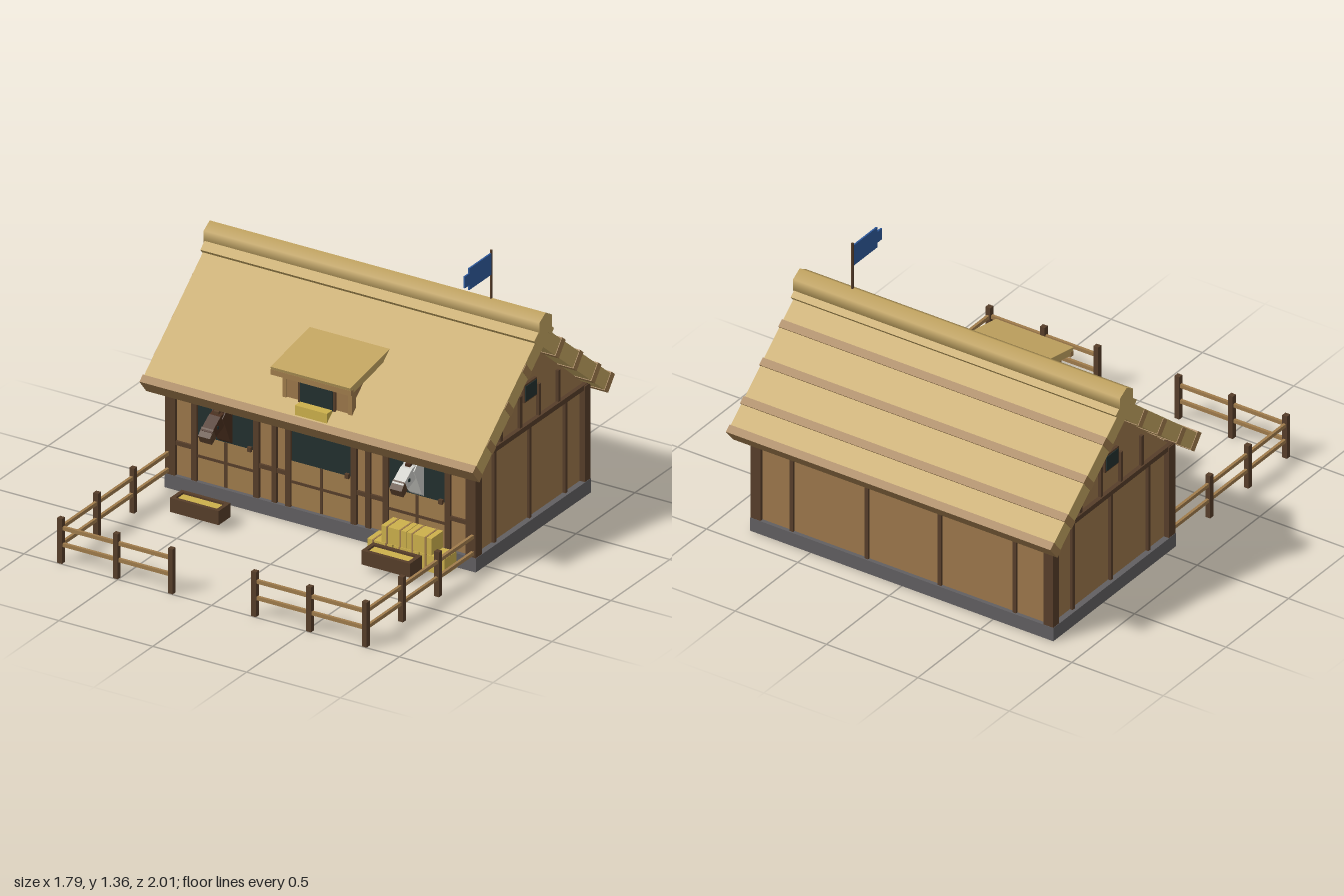
import * as THREE from 'three';

const mat = (name, color) => {
  const m = new THREE.MeshStandardMaterial({ color });
  m.name = name;
  return m;
};

export function createModel() {
  const thatch = mat('thatch', 0xc2a460);
  const plaster = mat('plankWall', 0x9c774b);
  const dark = mat('darkTimber', 0x573e2a);
  const trim = mat('lightTimber', 0xa07c4c);
  const hay = mat('hay', 0xccb04c);
  const stone = mat('stone', 0x615f61);
  const glass = mat('darkOpening', 0x22302f);
  const blue = mat('blueCloth', 0x2f5a9c);
  const white = mat('whiteCoat', 0xcfcfca);
  const brown = mat('brownCoat', 0x4a2e1e);

  const model = new THREE.Group();
  model.name = 'stable';
  const group = (name, parent = model) => {
    const g = new THREE.Group();
    g.name = name;
    parent.add(g);
    return g;
  };
  const add = (parent, name, geo, m, x = 0, y = 0, z = 0) => {
    const mesh = new THREE.Mesh(geo, m);
    mesh.name = name;
    mesh.position.set(x, y, z);
    parent.add(mesh);
    return mesh;
  };
  // box given by its limits on each axis
  const box = (parent, name, m, [x0, x1], [y0, y1], [z0, z1]) =>
    add(parent, name, new THREE.BoxGeometry(x1 - x0, y1 - y0, z1 - z0), m, (x0 + x1) / 2, (y0 + y1) / 2, (z0 + z1) / 2);
  // side profile of [z, y] points, extruded across x and centred
  const profile = (points, width) => {
    const shape = new THREE.Shape(points.map(([z, y]) => new THREE.Vector2(z, y)));
    const geo = new THREE.ExtrudeGeometry(shape, { depth: width, bevelEnabled: false });
    return geo.translate(0, 0, -width / 2).rotateY(-Math.PI / 2);
  };
  const MID = -0.41;

  // Plinth and walls
  box(model, 'foundation', stone, [-0.83, 0.83], [0, 0.07], [-0.9, 0.08]);
  add(model, 'walls', profile([[0.06, 0.07], [0.06, 0.55], [MID, 0.955], [-0.88, 0.55], [-0.88, 0.07]], 1.6), plaster);

  // Timber frame
  const frame = group('timberFrame');
  for (const s of [-1, 1]) {
    const xs = s > 0 ? [0.775, 0.828] : [-0.828, -0.775];
    box(frame, 'frontCornerPost', dark, xs, [0.07, 0.55], [0.025, 0.078]);
    box(frame, 'backCornerPost', dark, xs, [0.07, 0.55], [-0.898, -0.85]);
    const face = s > 0 ? [0.79, 0.815] : [-0.815, -0.79];
    box(frame, 'sideBeam', dark, s > 0 ? [0.78, 0.822] : [-0.822, -0.78], [0.528, 0.553], [-0.895, 0.07]);
    for (const z of [-0.11, MID, -0.715]) box(frame, 'sideStud', dark, face, [0.07, 0.54], [z - 0.009, z + 0.009]);
    for (const [d, top] of [[0.245, 0.71], [0.08, 0.71]])
      for (const k of [-1, 1]) box(frame, 'gableStud', dark, face, [0.55, top], [MID + k * d - 0.009, MID + k * d + 0.009]);
    // Gable window
    box(frame, 'gableWindowFrame', dark, face, [0.665, 0.755], [MID - 0.054, MID + 0.054]);
    box(frame, 'gableWindow', glass, s > 0 ? [0.814, 0.819] : [-0.819, -0.814], [0.673, 0.747], [MID - 0.046, MID + 0.046]);
  }
  for (const x of [-0.61, -0.2, 0.2, 0.61]) box(frame, 'backStud', dark, [x - 0.01, x + 0.01], [0.07, 0.54], [-0.892, -0.87]);
  box(frame, 'backBeam', dark, [-0.8, 0.8], [0.525, 0.55], [-0.894, -0.87]);
  box(frame, 'frontBeam', dark, [-0.8, 0.8], [0.472, 0.5], [0.05, 0.077]);

  // Three stable doors across the front
  for (const [cx, half] of [[-0.51, 0.15], [0, 0.16], [0.51, 0.15]]) {
    const door = group('stableDoor');
    door.position.x = cx;
    box(door, 'opening', glass, [-half, half], [0.3, 0.472], [0.058, 0.065]);
    box(door, 'doorLeaf', trim, [-half, half], [0.075, 0.3], [0.055, 0.066]);
    box(door, 'doorBrace', dark, [-half, half], [0.19, 0.203], [0.06, 0.07]);
    box(door, 'doorSeam', dark, [-0.007, 0.007], [0.075, 0.3], [0.06, 0.07]);
    box(door, 'doorLatch', dark, [half - 0.03, half - 0.01], [0.292, 0.315], [0.06, 0.08]);
    for (const s of [-1, 1])
      box(door, 'doorPost', dark, [s * (half + 0.015) - 0.014, s * (half + 0.015) + 0.014], [0.07, 0.48], [0.05, 0.076]);
  }
  for (const s of [-1, 1]) {
    box(frame, 'frontStud', dark, [s * 0.25 - 0.013, s * 0.25 + 0.013], [0.07, 0.48], [0.05, 0.074]);
    for (const [c, h] of [[0.265, 0.09], [0.725, 0.055]])
      box(frame, 'frontRail', dark, [s * c - h, s * c + h], [0.222, 0.242], [0.05, 0.072]);
  }

  // Thatched roof: one slab each side, with battens
  const RIDGE = 1.05, ANGLE = 0.689, LEN = 0.775, THICK = 0.08;
  for (const front of [true, false]) {
    const turn = group(front ? 'frontRoof' : 'backRoof');
    turn.position.set(0, RIDGE, MID + 0.005);
    turn.rotation.y = front ? 0 : Math.PI;
    const slope = group('slope', turn);
    slope.rotation.x = ANGLE;
    box(slope, 'thatchSlab', thatch, [-0.885, 0.885], [-THICK, 0], [0, LEN - 0.004]);
    [0.215, 0.412, 0.61, 0.757].forEach((d, i) => {
      const lift = !front || i === 3 ? 0.008 : -0.004;
      box(slope, 'roofBatten', trim, [-0.888, 0.888], [-THICK - 0.003, lift], [d - 0.019, d + 0.019]);
    });
    box(slope, 'ridgeSaddle', thatch, [-0.89, 0.89], [-0.01, 0.022], [0, 0.09]);
  }
  const ridge = add(model, 'ridgeRoll', new THREE.CylinderGeometry(0.06, 0.06, 1.79, 6), thatch, 0, 1.06, MID);
  ridge.rotation.set(0, 0, Math.PI / 2);
  ridge.geometry.rotateY(Math.PI / 2); // a corner of the hexagon points up

  // Dormer
  const dormer = group('dormer');
  add(dormer, 'dormerBody', profile([[0.1, 0.615], [0.1, 0.785], [-0.19, 0.835], [-0.19, 0.75]], 0.33), plaster);
  add(dormer, 'dormerRoof', profile([[0.15, 0.763], [0.163, 0.798], [-0.19, 0.862], [-0.19, 0.825]], 0.425), thatch);
  box(dormer, 'dormerFascia', trim, [-0.214, 0.214], [0.757, 0.783], [0.135, 0.159]);
  for (const s of [-1, 1]) box(dormer, 'dormerPost', trim, [s * 0.175 - 0.011, s * 0.175 + 0.011], [0.62, 0.78], [0.07, 0.104]);
  box(dormer, 'dormerWindowFrame', dark, [-0.1, 0.1], [0.62, 0.745], [0.09, 0.108]);
  box(dormer, 'dormerWindow', glass, [-0.086, 0.086], [0.63, 0.732], [0.105, 0.112]);
  box(dormer, 'dormerHay', hay, [-0.085, 0.085], [0.575, 0.635], [0.1, 0.157]);

  // Horses looking out of the side doors
  for (const [x, coat, mane] of [[-0.51, brown, dark], [0.51, white, brown]]) {
    const horse = group('horse');
    horse.position.x = x;
    add(horse, 'neck', profile([[0.06, 0.3], [0.06, 0.47], [0.11, 0.495], [0.15, 0.46], [0.13, 0.42], [0.085, 0.32]], 0.07), coat);
    add(horse, 'head', profile([[0.1, 0.44], [0.115, 0.485], [0.16, 0.475], [0.235, 0.425], [0.212, 0.385], [0.14, 0.41]], 0.06), coat);
    add(horse, 'muzzle', profile([[0.222, 0.436], [0.253, 0.402], [0.235, 0.366], [0.2, 0.389]], 0.064), dark);
    add(horse, 'mane', profile([[0.07, 0.46], [0.1, 0.505], [0.15, 0.49], [0.15, 0.46]], 0.026), mane);
    for (const s of [-1, 1]) {
      add(horse, 'ear', new THREE.ConeGeometry(0.011, 0.04, 4), coat, s * 0.02, 0.495, 0.125);
      box(horse, 'eye', glass, [s * 0.031 - 0.003, s * 0.031 + 0.003], [0.425, 0.439], [0.178, 0.192]);
    }
  }

  // Feed troughs
  for (const s of [-1, 1]) {
    const trough = group('trough');
    trough.position.set(s * 0.51, 0, 0.285);
    for (const k of [-1, 1]) {
      box(trough, 'troughSide', dark, [-0.13, 0.13], [0.03, 0.1], k > 0 ? [0.032, 0.05] : [-0.05, -0.032]);
      box(trough, 'troughEnd', dark, k > 0 ? [0.11, 0.13] : [-0.13, -0.11], [0.03, 0.1], [-0.032, 0.032]);
    }
    box(trough, 'troughFloor', dark, [-0.11, 0.11], [0.034, 0.046], [-0.032, 0.032]);
    box(trough, 'troughHay', hay, [-0.11, 0.11], [0.046, 0.09], [-0.032, 0.032]);
  }

  // Stacked hay bales
  for (const [x, y] of [[0.385, 0], [0.525, 0], [0.665, 0], [0.46, 0.085], [0.595, 0.085]]) {
    const bale = group('hayBale');
    bale.position.set(x, y, 0.137);
    box(bale, 'bale', hay, [-0.066, 0.066], [0.001, 0.084], [-0.05, 0.05]);
    for (const k of [-0.035, 0.035]) box(bale, 'baleStrap', trim, [k - 0.004, k + 0.004], [0, 0.086], [-0.052, 0.052]);
  }

  // Paddock fence, mirrored
  for (const s of [-1, 1]) {
    const fence = group('fence');
    for (const [x, z] of [[0.812, 0.372], [0.812, 0.678], [0.812, 0.985], [0.515, 0.985], [0.222, 0.985]])
      add(fence, 'fencePost', new THREE.BoxGeometry(0.026, 0.225, 0.026), dark, s * x, 0.1125, z);
    for (const y of [0.092, 0.175]) {
      add(fence, 'sideFenceRail', new THREE.BoxGeometry(0.014, 0.018, 0.92), trim, s * 0.812, y, 0.525);
      add(fence, 'frontFenceRail', new THREE.BoxGeometry(0.59, 0.018, 0.014), trim, s * 0.517, y, 0.985);
    }
  }

  // Pennant on the ridge
  const flag = group('flag');
  add(flag, 'flagPole', new THREE.CylinderGeometry(0.006, 0.006, 0.27, 6), dark, 0.605, 1.225, MID);
  box(flag, 'flagCloth', blue, [0.601, 0.609], [1.238, 1.345], [MID, -0.217]);
  box(flag, 'flagTip', blue, [0.601, 0.609], [1.262, 1.32], [-0.217, -0.18]);

  return model;
}
